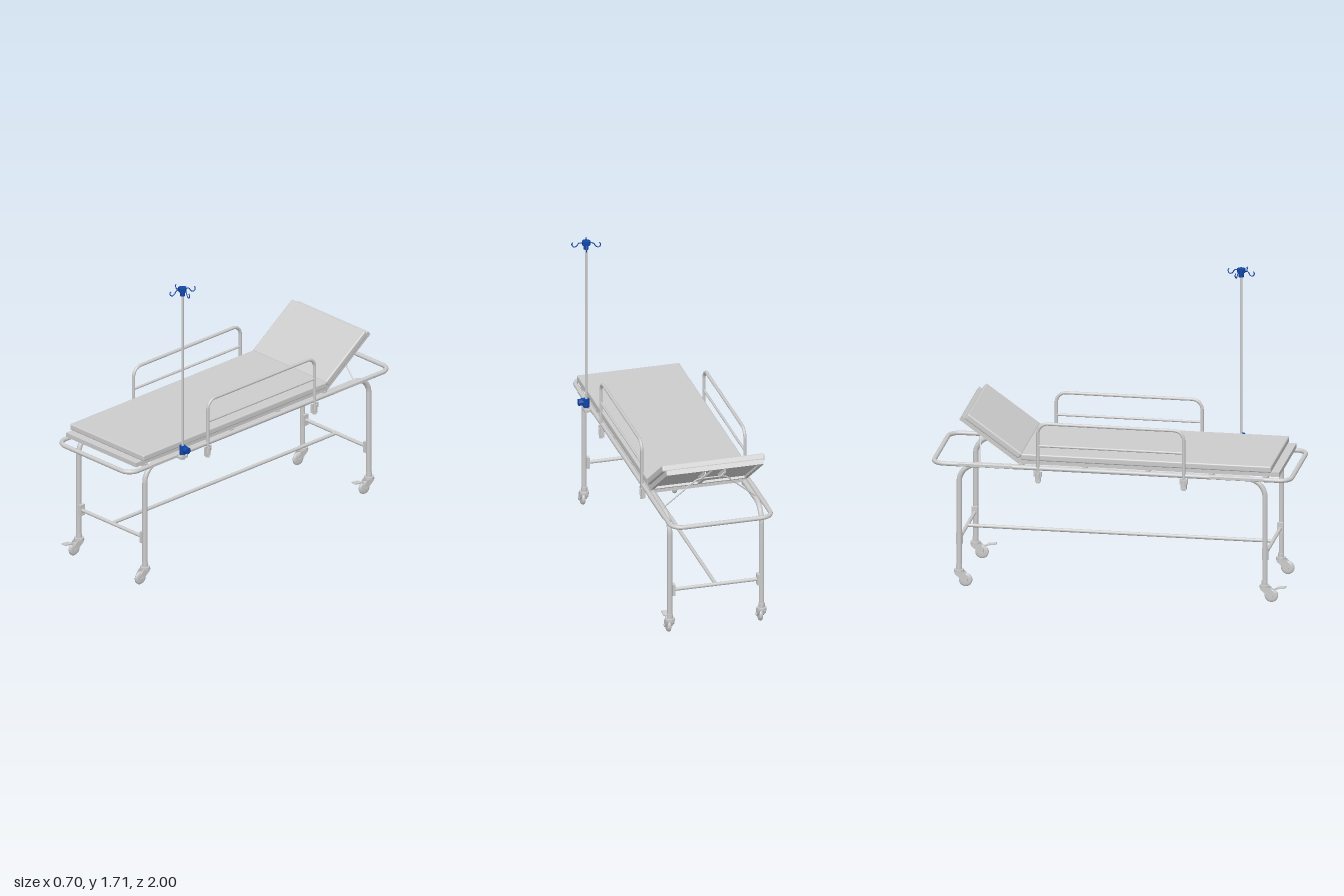
import * as THREE from 'three';
import { RoundedBoxGeometry } from 'three/addons/geometries/RoundedBoxGeometry.js';

const V = (x, y, z) => new THREE.Vector3(x, y, z);
const grey = new THREE.MeshStandardMaterial({ color: 0xcccccc });
const blue = new THREE.MeshStandardMaterial({ color: 0x1146a8 });

function add(parent, name, geometry, x = 0, y = 0, z = 0, material = grey) {
  const mesh = new THREE.Mesh(geometry, material);
  mesh.name = name;
  mesh.position.set(x, y, z);
  parent.add(mesh);
  return mesh;
}

const box = (w, h, d) => new THREE.BoxGeometry(w, h, d);
const cyl = (r, h, sides = 20) => new THREE.CylinderGeometry(r, r, h, sides);

// Straight round bar between two points
function bar(parent, name, a, b, r, material = grey) {
  const mesh = add(parent, name, cyl(r, a.distanceTo(b), 14), 0, 0, 0, material);
  mesh.position.copy(a).add(b).multiplyScalar(0.5);
  mesh.quaternion.setFromUnitVectors(V(0, 1, 0), b.clone().sub(a).normalize());
  return mesh;
}

// Bent pipe through corner points, each corner rounded by the bend radius
function pipe(parent, name, points, r, bend, segments, closed = false) {
  const path = new THREE.CurvePath();
  const n = points.length;
  const toward = (p, q) => p.clone().add(q.clone().sub(p).setLength(bend));
  const corners = points.map((p, i) => {
    if (!closed && (i === 0 || i === n - 1)) return [p, p];
    return [toward(p, points[(i + n - 1) % n]), toward(p, points[(i + 1) % n])];
  });
  corners.forEach(([start, end], i) => {
    if (start !== end) {
      const k = 0.5523;
      path.add(new THREE.CubicBezierCurve3(start, start.clone().lerp(points[i], k), end.clone().lerp(points[i], k), end));
    }
    if (closed || i < n - 1) path.add(new THREE.LineCurve3(end, corners[(i + 1) % n][0]));
  });
  path.arcLengthDivisions = 600;
  return add(parent, name, new THREE.TubeGeometry(path, segments, r, 12, closed), 0, 0, 0);
}

// Swivel caster trailing toward +z, with an optional brake pedal
function caster(parent, x, z, brake) {
  const g = new THREE.Group();
  g.name = 'caster';
  g.position.set(x, 0, z);
  parent.add(g);
  add(g, 'casterStem', cyl(0.017, 0.03), 0, 0.105, 0);
  add(g, 'casterHousing', cyl(0.027, 0.014), 0, 0.088, 0);
  const tread = add(g, 'wheel', new THREE.LatheGeometry([
    [0.008, -0.011], [0.024, -0.011], [0.027, -0.009], [0.033, -0.009], [0.037, -0.004],
    [0.037, 0.004], [0.033, 0.009], [0.027, 0.009], [0.024, 0.011], [0.008, 0.011],
  ].map(p => new THREE.Vector2(...p)), 28), 0, 0.037, 0.037);
  tread.rotation.z = Math.PI / 2;
  add(g, 'axle', cyl(0.009, 0.044), 0, 0.037, 0.037).rotation.z = Math.PI / 2;
  // Fork cheeks
  const cheek = new THREE.Shape();
  [[-0.024, 0.084], [0.03, 0.084], [0.05, 0.06], [0.049, 0.034], [0.037, 0.025], [0.024, 0.034], [-0.02, 0.07]]
    .forEach(([a, b], i) => (i ? cheek.lineTo(a, b) : cheek.moveTo(a, b)));
  const cheekGeometry = new THREE.ExtrudeGeometry(cheek, { depth: 0.004, bevelEnabled: false });
  cheekGeometry.rotateY(-Math.PI / 2).translate(0.002, 0, 0);
  for (const s of [-1, 1]) add(g, 'fork', cheekGeometry, s * 0.017, 0, 0);
  add(g, 'forkCrown', box(0.036, 0.006, 0.05), 0, 0.081, 0.002);
  if (brake) {
    add(g, 'brakePedal', box(0.034, 0.006, 0.05), 0, 0.084, 0.092).rotation.x = -0.12;
    add(g, 'brakeArm', box(0.016, 0.008, 0.06), 0, 0.072, 0.055).rotation.x = -0.35;
  }
}

function undercarriage(bed) {
  // Top loop and the leg pipes running beneath it
  pipe(bed, 'frameLoop', [V(-0.285, 0.7, -0.988), V(0.285, 0.7, -0.988), V(0.285, 0.7, 0.988), V(-0.285, 0.7, 0.988)],
    0.0125, 0.065, 420, true);
  for (const s of [-1, 1]) {
    const x = s * 0.26;
    pipe(bed, 'legPipe', [V(x, 0.1, -0.843), V(x, 0.695, -0.843), V(x, 0.695, 0.847), V(x, 0.1, 0.847)], 0.0145, 0.1, 300);
    for (const e of [-1, 1]) {
      add(bed, 'sidePlate', box(0.004, 0.014, 0.3), s * 0.297, 0.7, e * 0.695);
      add(bed, 'legBracket', box(0.016, 0.065, 0.034), s * 0.24, 0.265, e * 0.845);
      caster(bed, x, e * 0.845, s * e < 0);
    }
  }
  // Lower H-shaped brace
  for (const e of [-1, 1]) bar(bed, 'lowerCrossBar', V(-0.24, 0.265, e * 0.845), V(0.24, 0.265, e * 0.845), 0.01);
  bar(bed, 'lowerLongBar', V(0, 0.265, -0.845), V(0, 0.265, 0.845), 0.01);
  // Cross members under the deck
  for (const z of [-0.5, -0.15, 0.2, 0.55, 0.85]) add(bed, 'deckCrossMember', box(0.55, 0.018, 0.024), 0, 0.706, z);
}

function deck(bed) {
  add(bed, 'deckBoard', box(0.55, 0.025, 1.43), 0, 0.73, 0.213);
  add(bed, 'mattress', new RoundedBoxGeometry(0.58, 0.036, 1.385, 3, 0.008), 0, 0.76, 0.193);

  // Raised backrest, hinged at the deck end
  const back = new THREE.Group();
  back.name = 'backrest';
  back.position.set(0, 0.717, -0.51);
  back.rotation.x = 0.62;
  bed.add(back);
  add(back, 'backBoard', box(0.55, 0.014, 0.405), 0, 0.018, -0.2025);
  add(back, 'backMattress', new RoundedBoxGeometry(0.58, 0.036, 0.367, 3, 0.008), 0, 0.043, -0.203);
  for (const z of [-0.01, -0.395]) add(back, 'backEdgeRail', box(0.55, 0.014, 0.02), 0, 0.005, z);
  for (const x of [-0.265, 0, 0.265]) add(back, 'backRib', box(0.02, 0.013, 0.39), x, 0.005, -0.2025);
  // Toothed strips that hold the support rod
  for (const x of [-0.055, 0.055]) {
    add(back, 'ratchetStrip', box(0.006, 0.014, 0.16), x, -0.004, -0.315);
    for (let i = 0; i < 5; i++) add(back, 'ratchetTooth', box(0.006, 0.016, 0.012), x, -0.016, -0.255 - i * 0.033).rotation.x = 0.4;
  }
  // Support rod splayed from the ratchet to the frame
  pipe(bed, 'supportRod', [V(-0.27, 0.7, -0.725), V(-0.08, 0.868, -0.757), V(0.08, 0.868, -0.757), V(0.27, 0.7, -0.725)],
    0.004, 0.02, 80);
}

function sideRails(bed) {
  for (const s of [-1, 1]) {
    const x = s * 0.292;
    pipe(bed, 'sideRail', [V(x, 0.64, -0.403), V(x, 0.957, -0.403), V(x, 0.957, 0.403), V(x, 0.64, 0.403)], 0.009, 0.055, 180);
    bar(bed, 'sideRailMiddle', V(x, 0.83, -0.403), V(x, 0.83, 0.403), 0.007);
    for (const z of [-0.403, 0.403]) {
      add(bed, 'railSocket', cyl(0.014, 0.035), x, 0.66, z);
      add(bed, 'railBracket', box(0.022, 0.05, 0.03), s * 0.288, 0.65, z);
      add(bed, 'railBracketPlate', box(0.008, 0.03, 0.045), s * 0.295, 0.67, z);
      add(bed, 'railFoot', cyl(0.011, 0.012), x, 0.625, z);
    }
  }
}

function dripPole(root) {
  const g = new THREE.Group();
  g.name = 'dripPole';
  g.position.set(0.27, 0, 0.615);
  root.add(g);
  bar(g, 'pole', V(0, 0.69, 0), V(0, 1.69, 0), 0.007);
  add(g, 'poleBracket', box(0.05, 0.014, 0.05), -0.01, 0.696, 0);
  add(g, 'poleSocket', cyl(0.013, 0.03), 0, 0.695, 0);
  add(g, 'poleClamp', cyl(0.017, 0.05), 0, 0.737, 0, blue);
  add(g, 'clampBlock', box(0.03, 0.034, 0.026), 0.01, 0.744, 0, blue);
  add(g, 'clampKnob', cyl(0.019, 0.026, 12), 0.032, 0.744, 0, blue).rotation.z = Math.PI / 2;
  // Hook head
  add(g, 'hookHub', cyl(0.023, 0.022), 0, 1.699, 0, blue);
  add(g, 'hookCollar', cyl(0.014, 0.03), 0, 1.677, 0, blue);
  const curl = new THREE.CatmullRomCurve3([[0.015, 1.7], [0.04, 1.697], [0.05, 1.683], [0.064, 1.674], [0.076, 1.681], [0.078, 1.694], [0.072, 1.701]]
    .map(([r, y]) => V(r, y, 0)));
  for (let i = 0; i < 4; i++) {
    add(g, 'hook', new THREE.TubeGeometry(curl, 28, 0.003, 8), 0, 0, 0, blue).rotation.y = -0.26 + i * Math.PI / 2;
  }
}

export function createModel() {
  const root = new THREE.Group();
  root.name = 'hospitalStretcher';
  const bed = new THREE.Group();
  bed.name = 'bed';
  bed.position.x = -0.045;
  root.add(bed);
  undercarriage(bed);
  deck(bed);
  sideRails(bed);
  dripPole(root);
  return root;
}
